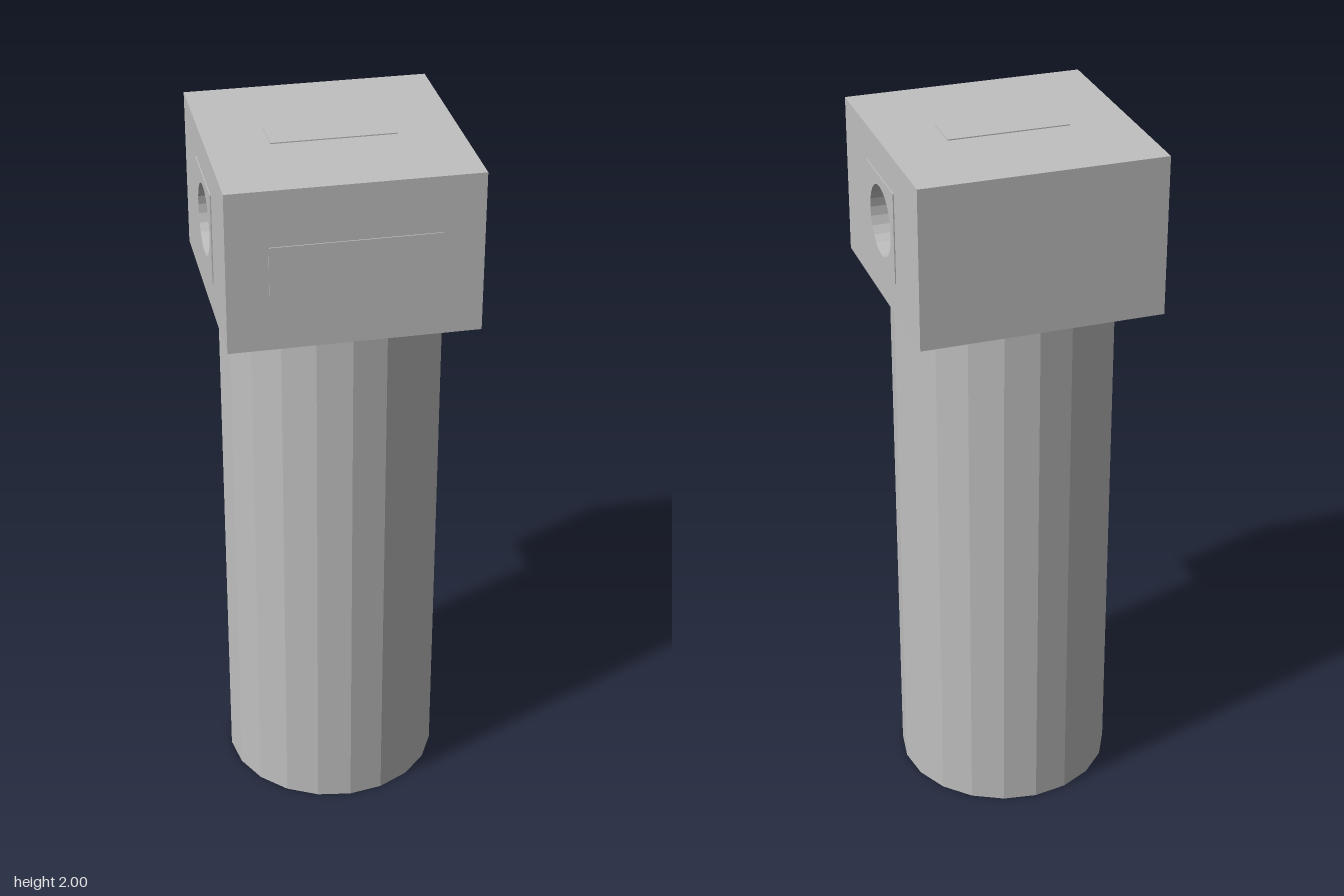
import * as THREE from 'three';

export function createModel() {
  const model = new THREE.Group();
  const metal = new THREE.MeshStandardMaterial({ color: 0xc0c0c0, flatShading: true });
  metal.name = 'silver metal';

  const bottom = 1.552, top = 1.997, width = 0.672, lip = 0.003;
  const midY = (bottom + top) / 2, midZ = -lip / 2;
  const portDepth = 0.22, portRadius = 0.097;

  function add(name, geometry, x, y, z) {
    const mesh = new THREE.Mesh(geometry, metal);
    mesh.name = name;
    mesh.position.set(x, y, z);
    model.add(mesh);
    return mesh;
  }

  // Rectangular slab pierced by the round port
  function piercedSlab(w, h, depth) {
    const shape = new THREE.Shape([
      new THREE.Vector2(-w / 2, -h / 2), new THREE.Vector2(w / 2, -h / 2),
      new THREE.Vector2(w / 2, h / 2), new THREE.Vector2(-w / 2, h / 2),
    ]);
    const hole = new THREE.Path();
    hole.absarc(0, 0, portRadius, 0, Math.PI * 2, true);
    shape.holes.push(hole);
    return new THREE.ExtrudeGeometry(shape, { depth, bevelEnabled: false, curveSegments: 12 });
  }

  // Faceted bowl
  add('bowl', new THREE.CylinderGeometry(0.308, 0.308, bottom, 20), 0, bottom / 2, midZ);

  // Head: solid core with a bored block and a raised port pad on each side
  add('headCore', new THREE.BoxGeometry(width - 2 * portDepth, top - bottom, width), 0, midY, midZ);
  for (const [side, label] of [[1, 'left'], [-1, 'right']]) {
    const block = add(label + 'PortBlock', piercedSlab(width, top - bottom, portDepth),
      side * (width / 2 - portDepth), midY, midZ);
    const pad = add(label + 'PortPad', piercedSlab(0.252, 0.252, lip), side * width / 2, midY, midZ);
    block.rotation.y = pad.rotation.y = side * Math.PI / 2;
  }

  // Thin raised plates on the top and the front
  add('topPlate', new THREE.BoxGeometry(0.336, lip, 0.11), 0, top + lip / 2, midZ);
  add('frontPlate', new THREE.BoxGeometry(0.45, 0.136, lip), 0, midY, midZ + width / 2 + lip / 2);

  return model;
}
